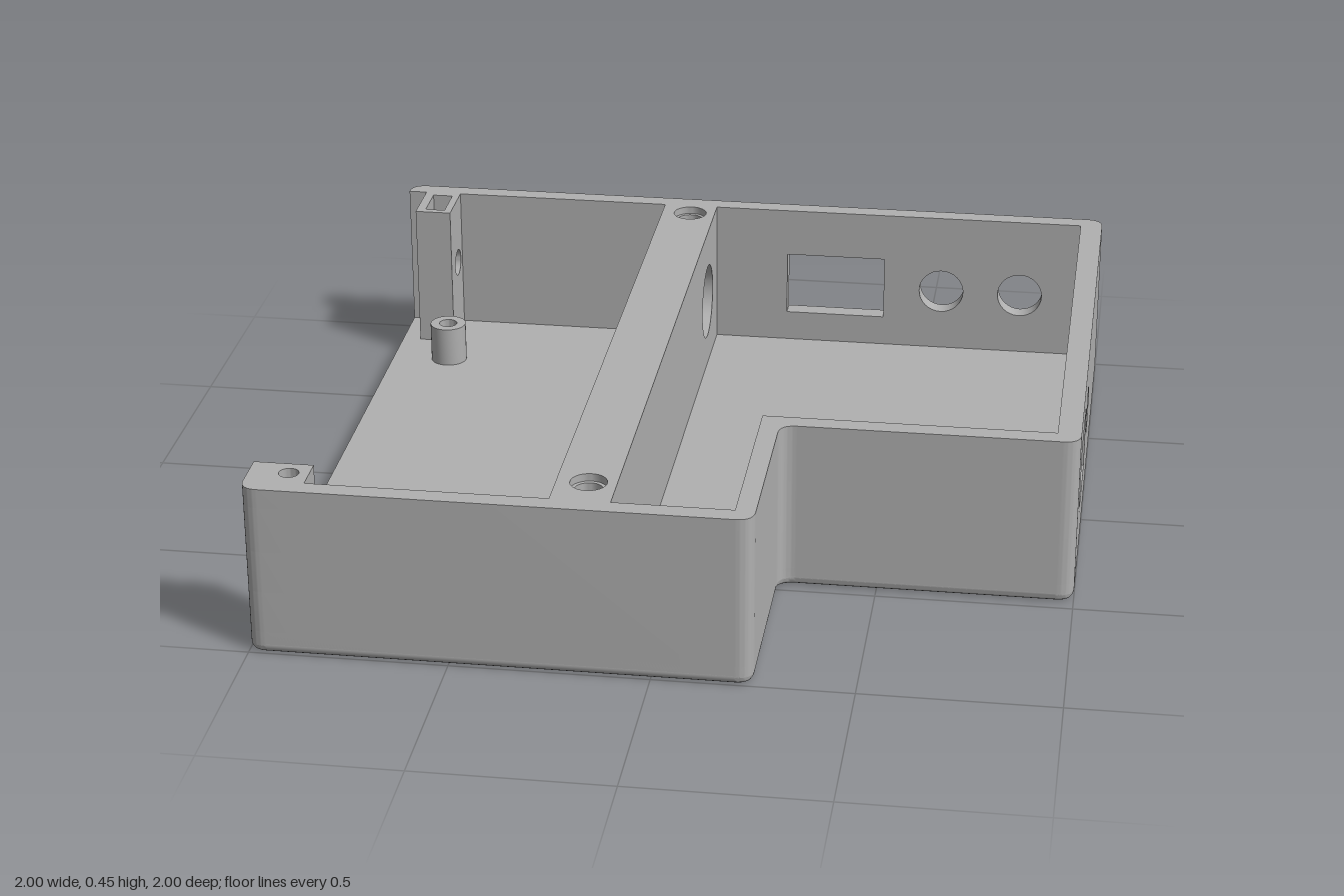
import * as THREE from 'three';
import { toCreasedNormals } from 'three/addons/utils/BufferGeometryUtils.js';

const H = 0.45, FLOOR = 0.05, LOW = 0.02;

// Closed outline from [a, b, cornerRadius] points
function outline(pts) {
  const s = new THREE.Shape();
  const n = pts.length;
  pts.forEach(([x, y, r = 0], i) => {
    const p = new THREE.Vector2(x, y);
    const toward = (q) => p.clone().add(new THREE.Vector2(q[0] - x, q[1] - y).setLength(r));
    const a = r ? toward(pts[(i + n - 1) % n]) : p;
    const b = r ? toward(pts[(i + 1) % n]) : p;
    if (i === 0) s.moveTo(a.x, a.y); else s.lineTo(a.x, a.y);
    if (r) s.quadraticCurveTo(x, y, b.x, b.y);
  });
  s.closePath();
  return s;
}
const rect = (x0, y0, x1, y1) => outline([[x0, y0], [x1, y0], [x1, y1], [x0, y1]]);
const circle = (x, y, r) => new THREE.Shape().absarc(x, y, r, 0, Math.PI * 2, false);
function cut(shape, ...holes) {
  shape.holes.push(...holes);
  return shape;
}

export function createModel() {
  const group = new THREE.Group();
  const plastic = new THREE.MeshStandardMaterial({ color: 0xb0b0b0 });
  plastic.name = 'grey plastic';

  function add(name, geo) {
    const mesh = new THREE.Mesh(toCreasedNormals(geo, 0.6), plastic);
    mesh.name = name;
    group.add(mesh);
  }
  const extrude = (shape, depth) =>
    new THREE.ExtrudeGeometry(shape, { depth, bevelEnabled: false, curveSegments: 16 });
  // Shape in x,z raised from y0 to y1
  const plan = (name, shape, y0, y1) =>
    add(name, extrude(shape, y1 - y0).rotateX(Math.PI / 2).translate(0, y1, 0));
  // Shape in z,y spanning x0 to x1
  const side = (name, shape, x0, x1) =>
    add(name, extrude(shape, x1 - x0).rotateY(-Math.PI / 2).translate(x1, 0, 0));

  // Floor with a rounded lower edge
  const R = 0.045;
  const base = outline([[-1, -1, R], [1, -1, R], [1, 0.47, R], [0.25, 0.47, R], [0.25, 1, R], [-1, 1, R]]);
  const bevel = new THREE.ExtrudeGeometry(base, {
    depth: 0.005, bevelThickness: LOW, bevelSize: LOW, bevelOffset: -LOW, bevelSegments: 4, curveSegments: 12,
  });
  add('floorUnderside', bevel.rotateX(Math.PI / 2).translate(0, 0.025, 0));
  plan('floor', base, LOW, FLOOR);

  // Back wall with two round ports and a rectangular one
  add('backWall', extrude(cut(rect(-0.95, LOW, 0.94, H),
    circle(0.775, 0.225, 0.063), circle(0.55, 0.225, 0.063), rect(0.105, 0.135, 0.385, 0.315)), 0.05)
    .translate(0, 0, -1));
  plan('backRightCorner', outline([[-1, -1, R], [-0.95, -1], [-0.95, -0.95], [-1, -0.95]]), LOW, H);
  plan('backLeftCorner', outline([[0.94, -1], [1, -1, R], [1, -0.95], [0.94, -0.95]]), LOW, H);

  // Side wall with one rectangular and one round port
  side('sideWall', cut(rect(-0.95, LOW, 0.42, H),
    rect(0, 0.16, 0.28, 0.34), circle(-0.16, 0.25, 0.063)), 0.94, 1);

  // Stepped front wall
  plan('frontWall', outline([[1, 0.42], [1, 0.47, R], [0.25, 0.47, R], [0.25, 1, R], [-0.85, 1],
    [-0.85, 0.95], [0.2, 0.95], [0.2, 0.42]]), LOW, H);

  // Divider with a cable hole and two screw sockets on top
  side('divider', cut(rect(-0.95, LOW, 0.95, 0.36), circle(-0.753, 0.24, 0.105)), -0.25, -0.1);
  [[0.36, 0.43, 0.036], [0.43, H, 0.046]].forEach(([y0, y1, r]) =>
    plan('dividerTop', cut(rect(-0.25, -0.95, -0.1, 0.95),
      circle(-0.17, -0.895, r), circle(-0.17, 0.85, r)), y0, y1));

  // Front corner column: solid layers alternate with slotted ones
  const column = () => outline([[-1, 0.85], [-0.85, 0.85], [-0.85, 1], [-1, 1, R]]);
  const slotted = () => outline([[-1, 0.85], [-0.96, 0.85], [-0.96, 0.94], [-0.91, 0.94],
    [-0.91, 0.85], [-0.85, 0.85], [-0.85, 1], [-1, 1, R]]);
  plan('frontColumn', column(), LOW, 0.06);
  plan('frontColumnSlot', slotted(), 0.06, 0.17);
  plan('frontColumn', column(), 0.17, 0.28);
  plan('frontColumnSlot', slotted(), 0.28, 0.4);
  plan('frontColumnTop', cut(column(), circle(-0.9, 0.9, 0.025)), 0.4, H);

  // Hollow back post with a cross hole and a sloped pocket
  for (const [x0, x1] of [[-0.95, -0.925], [-0.87, -0.85]]) {
    side('backPostCheek', cut(rect(-0.95, FLOOR, -0.8, H), circle(-0.89, 0.26, 0.038)), x0, x1);
  }
  side('backPostEnd', rect(-0.95, FLOOR, -0.93, H), -0.925, -0.87);
  side('backPostEnd', rect(-0.82, FLOOR, -0.8, H), -0.925, -0.87);
  side('backPostPocket', outline([[-0.93, FLOOR], [-0.82, FLOOR], [-0.82, 0.2], [-0.875, 0.2], [-0.93, 0.3]]),
    -0.925, -0.87);

  // Board supports
  plan('roundStandoff', cut(circle(-0.84, -0.68, 0.05), circle(-0.84, -0.68, 0.025)), FLOOR, 0.16);
  plan('squareStandoff', cut(rect(0.84, 0.325, 0.94, 0.42), circle(0.89, 0.37, 0.025)), FLOOR, 0.16);

  return group;
}
